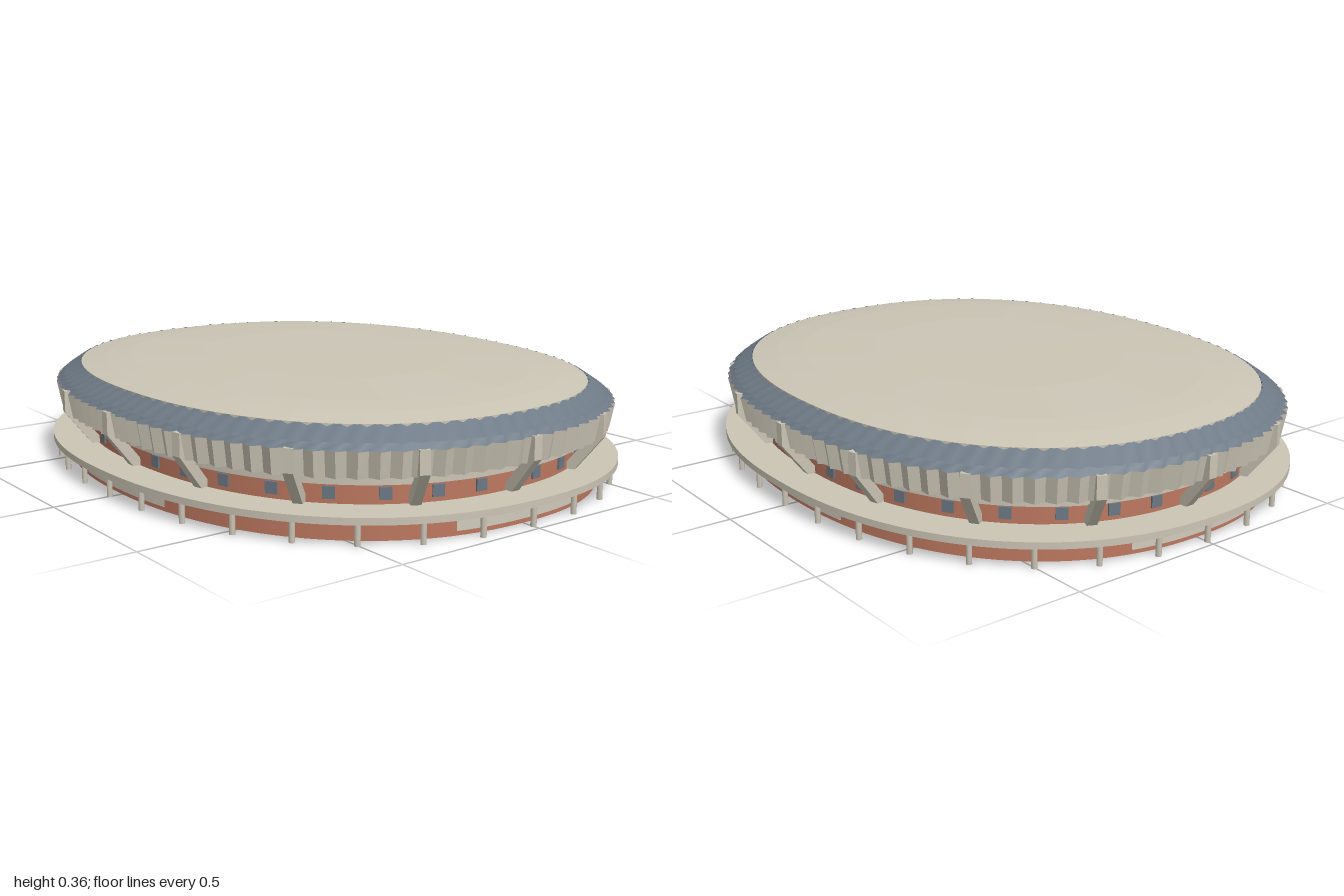
import * as THREE from 'three';

const OFFSET = 0.163;   // plan depth is shorter than width by this much
const POWER = 2 / 2.25; // rounded-oval (superellipse) plan

const mat = (name, color) => {
  const m = new THREE.MeshStandardMaterial({ color, side: THREE.DoubleSide });
  m.name = name;
  return m;
};

// point on the oval of half width a and half depth b
const sp = (v) => Math.sign(v) * Math.abs(v) ** POWER;
const oval = (a, b, t) => [a * sp(Math.sin(t)), b * sp(Math.cos(t))];

// table for even spacing along the oval: s = 0 is front centre, 0.25 is +x
const STEPS = 8000;
const lengths = [0];
for (let i = 1; i <= STEPS; i++) {
  const p = oval(1, 1 - OFFSET, ((i - 1) / STEPS) * Math.PI * 2);
  const q = oval(1, 1 - OFFSET, (i / STEPS) * Math.PI * 2);
  lengths.push(lengths[i - 1] + Math.hypot(q[0] - p[0], q[1] - p[1]));
}
function angleAt(s) {
  const turns = Math.floor(s);
  const target = (s - turns) * lengths[STEPS];
  let lo = 0, hi = STEPS;
  while (hi - lo > 1) {
    const mid = (lo + hi) >> 1;
    if (lengths[mid] <= target) lo = mid; else hi = mid;
  }
  const f = (target - lengths[lo]) / (lengths[hi] - lengths[lo]);
  return ((lo + f) / STEPS + turns) * Math.PI * 2;
}

// sweep a profile of [halfWidth, y, halfDepth?] round the oval, one creased strip per profile step
function sweep(profile, { s0 = 0, s1 = 1, seg = 160, pleat = 0, flat = false } = {}) {
  const closed = s1 - s0 === 1;
  const cols = closed ? seg : seg + 1;
  const pos = [], index = [];
  const angles = Array.from({ length: cols }, (_, i) => angleAt(s0 + ((s1 - s0) * i) / seg));
  for (let j = 0; j < profile.length - 1; j++) {
    const base = pos.length / 3;
    for (const [a, y, b = a - OFFSET] of [profile[j], profile[j + 1]]) {
      angles.forEach((t, i) => {
        const d = i % 2 ? -pleat : pleat;
        const [x, z] = oval(a + d, b + d, t);
        pos.push(x, y, z);
      });
    }
    for (let i = 0; i < seg; i++) {
      const k = (i + 1) % cols;
      const p = base + i, q = base + k, r = base + cols + k, u = base + cols + i;
      index.push(p, q, r, p, r, u);
    }
  }
  let g = new THREE.BufferGeometry();
  g.setAttribute('position', new THREE.Float32BufferAttribute(pos, 3));
  g.setIndex(index);
  if (flat) g = g.toNonIndexed();
  g.computeVertexNormals();
  return g;
}

// closed rectangular ring profile
const slab = (inner, outer, y0, y1) => [[inner, y0], [outer, y0], [outer, y1], [inner, y1], [inner, y0]];

export function createModel() {
  const model = new THREE.Group();
  const concrete = mat('concrete', 0xcbc5b5);
  const brick = mat('brick', 0xbd7860);
  const slate = mat('slateRoof', 0x6e7a86);
  const glass = mat('windowGlass', 0x6c7884);
  const panel = mat('palePanel', 0xd0cabc);

  const add = (name, geometry, material) => {
    const m = new THREE.Mesh(geometry, material);
    m.name = name;
    model.add(m);
    return m;
  };
  // set a part on the oval, its local +z pointing outward
  const place = (name, geometry, material, a, y, s) => {
    const m = add(name, geometry, material);
    const at = (u) => oval(a, a - OFFSET, angleAt(u));
    const [x, z] = at(s), p = at(s - 0.002), q = at(s + 0.002);
    m.position.set(x, y, z);
    m.rotation.y = Math.atan2(p[1] - q[1], q[0] - p[0]);
  };

  // brick walls, walkway canopy and stepped ring beams
  add('lowerWall', sweep([[0.936, 0], [0.936, 0.068]]), brick);
  add('walkwayCanopy', sweep(slab(0.88, 1, 0.065, 0.086)), concrete);
  add('upperWall', sweep([[0.878, 0.066], [0.878, 0.15]]), brick);
  add('lowerRingBeam', sweep(slab(0.88, 0.902, 0.147, 0.161)), concrete);
  add('upperRingBeam', sweep(slab(0.898, 0.925, 0.161, 0.177)), concrete);

  // pleated fascia and pleated roof skirt
  add('pleatedFascia', sweep([[0.96, 0.182], [0.974, 0.26]], { seg: 192, pleat: 0.009, flat: true }), concrete);
  add('pleatedRoofSkirt',
    sweep([[0.974, 0.26], [0.955, 0.278], [0.897, 0.318]], { seg: 192, pleat: 0.009 }), slate);

  // shallow dome with a flat underside
  const dome = [[1, 0.302], [1, 0.318], [0.9, 0.332], [0.79, 0.342], [0.49, 0.354], [0, 0.358]]
    .map(([k, y]) => [0.9 * k, y, 0.738 * k]);
  add('domeRoof', sweep(dome), concrete);
  add('domeUnderside', sweep([[0, 0.302, 0], [0.9, 0.302, 0.738]]), concrete);

  // entrance panels on the four sides
  for (let i = 0; i < 4; i++) {
    const range = { s0: i / 4 - 0.0425, s1: i / 4 + 0.0425, seg: 20 };
    add('entrancePanel', sweep(slab(0.938, 0.944, 0.016, 0.064), range), panel);
  }

  // canopy columns
  const column = new THREE.CylinderGeometry(0.009, 0.009, 0.068, 8);
  for (let i = 0; i < 32; i++) place('canopyColumn', column, concrete, 0.977, 0.034, i / 32);

  // raking struts with an upright clasping the fascia
  const outline = [[-0.024, 0.086], [0.002, 0.086], [0.086, 0.194], [0.086, 0.264], [0.05, 0.264],
    [0.05, 0.2], [-0.024, 0.106]];
  const strut = new THREE.ExtrudeGeometry(
    new THREE.Shape(outline.map(([x, y]) => new THREE.Vector2(x, y))), { depth: 0.03, bevelEnabled: false });
  strut.translate(0, 0, -0.015).rotateY(-Math.PI / 2);
  for (let i = 0; i < 16; i++) place('rakingStrut', strut, concrete, 0.9, 0, i / 16);

  // two windows in each bay, mirrored about both axes
  const pane = new THREE.BoxGeometry(0.036, 0.036, 0.006);
  for (const bay of [0.34, 0.775, 1.25, 1.74]) {
    for (let i = 0; i < 4; i++) {
      for (const side of [-1, 1]) place('window', pane, glass, 0.882, 0.118, i / 4 + (side * bay) / 16);
    }
  }
  return model;
}
